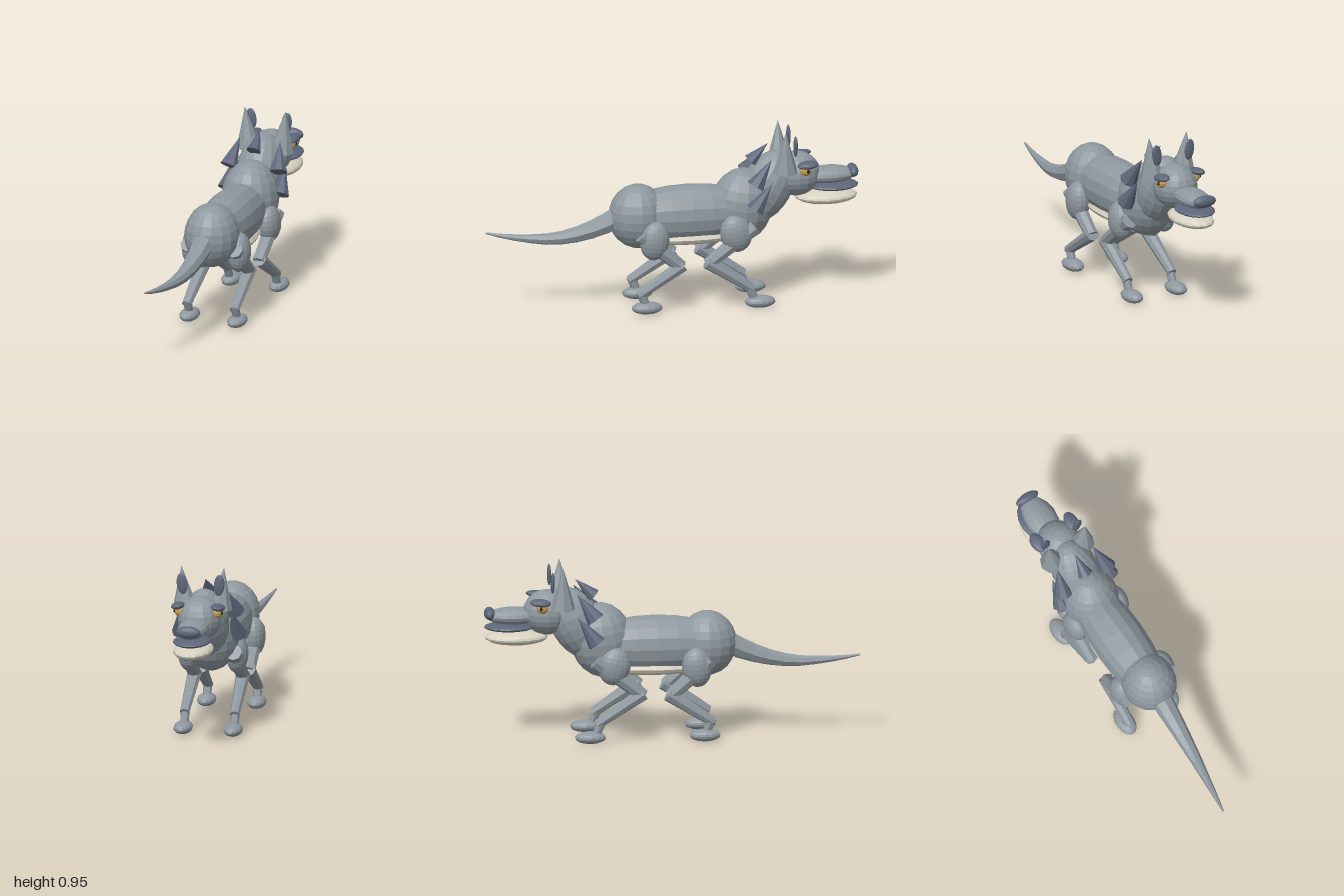
import * as THREE from 'three';

const mat = (name, color) => {
  const m = new THREE.MeshStandardMaterial({ color, flatShading: true });
  m.name = name;
  return m;
};

export function createModel() {
  const grey = mat('grey fur', 0x8e989f);
  const dark = mat('slate fur', 0x5d677a);
  const cream = mat('cream fur', 0xd6d1c0);
  const amber = mat('amber eye', 0xc9a050);
  const black = mat('pupil', 0x1c1c20);

  const root = new THREE.Group();
  root.name = 'wolf';
  const UP = new THREE.Vector3(0, 1, 0);

  // Faceted ellipsoid, tilted about x and z
  function blob(name, m, pos, size, tiltX = 0, tiltZ = 0, ws = 16, hs = 12) {
    const mesh = new THREE.Mesh(new THREE.SphereGeometry(1, ws, hs), m);
    mesh.name = name;
    mesh.position.set(...pos);
    mesh.scale.set(...size);
    mesh.rotation.set(tiltX, 0, tiltZ);
    root.add(mesh);
    return mesh;
  }

  // Tapered cylinder (or cone) running from a to b
  function limb(name, m, a, b, ra, rb, sides = 8) {
    const from = new THREE.Vector3(...a), to = new THREE.Vector3(...b);
    const dir = to.clone().sub(from);
    const mesh = new THREE.Mesh(new THREE.CylinderGeometry(rb, ra, dir.length(), sides), m);
    mesh.name = name;
    mesh.position.copy(from).add(to).multiplyScalar(0.5);
    mesh.quaternion.setFromUnitVectors(UP, dir.normalize());
    root.add(mesh);
    return mesh;
  }

  // Trunk
  blob('torso', grey, [0, 0.502, -0.08], [0.142, 0.42, 0.161], Math.PI / 2);
  blob('belly', cream, [0, 0.39, -0.09], [0.127, 0.3, 0.047], Math.PI / 2);
  blob('hips', grey, [0, 0.506, 0.195], [0.145, 0.173, 0.156]);
  blob('chest', grey, [0, 0.535, -0.365], [0.152, 0.2, 0.165], -0.12);
  blob('neck', grey, [0, 0.63, -0.5], [0.125, 0.21, 0.135], -0.5);

  // Head
  blob('head', grey, [0, 0.692, -0.655], [0.117, 0.12, 0.13]);
  blob('muzzle', grey, [0, 0.676, -0.83], [0.08, 0.15, 0.046], Math.PI / 2);
  blob('nose', dark, [0, 0.69, -0.96], [0.068, 0.033, 0.029]);
  blob('upperLip', dark, [0, 0.617, -0.855], [0.1, 0.022, 0.135]);
  blob('lowerJaw', cream, [0, 0.56, -0.818], [0.105, 0.04, 0.167]);

  // Paired parts
  for (const s of [-1, 1]) {
    limb('ear', grey, [s * 0.094, 0.73, -0.58], [s * 0.115, 0.955, -0.58], 0.067, 0);
    blob('innerEar', dark, [s * 0.1, 0.87, -0.635], [0.029, 0.058, 0.011], 0, -s * 0.1, 12, 8);
    blob('brow', dark, [s * 0.108, 0.766, -0.7], [0.037, 0.019, 0.058], 0.08, -s * 0.15, 12, 8);
    blob('eye', amber, [s * 0.098, 0.736, -0.688], [0.032, 0.032, 0.032], 0, 0, 12, 8);
    blob('pupil', black, [s * 0.127, 0.737, -0.698], [0.006, 0.011, 0.008], 0, 0, 8, 6);

    limb('upperManeSpike', dark, [s * 0.14, 0.675, -0.41], [s * 0.113, 0.81, -0.505], 0.05, 0);
    limb('lowerManeSpike', dark, [s * 0.152, 0.55, -0.405], [s * 0.143, 0.69, -0.505], 0.05, 0);

    // Front leg
    const x = s * 0.13, xf = s * 0.135;
    blob('shoulder', grey, [x, 0.418, -0.31], [0.058, 0.102, 0.086], 0.2);
    limb('frontUpperLeg', grey, [x, 0.45, -0.41], [x, 0.255, -0.155], 0.045, 0.035);
    limb('frontLowerLeg', grey, [x, 0.27, -0.155], [xf, 0.107, -0.4], 0.039, 0.026);
    limb('frontAnkle', grey, [xf, 0.125, -0.375], [xf, 0.045, -0.41], 0.025, 0.022);
    blob('frontPaw', grey, [xf, 0.036, -0.437], [0.05, 0.033, 0.083], 0, 0, 14, 10);

    // Hind leg
    blob('thigh', grey, [x, 0.403, 0.128], [0.06, 0.106, 0.079], -0.1);
    limb('hindUpperLeg', grey, [x, 0.44, 0.2], [x, 0.25, -0.015], 0.045, 0.035);
    limb('hindLowerLeg', grey, [x, 0.262, -0.025], [xf, 0.105, 0.215], 0.039, 0.026);
    limb('hindAnkle', grey, [xf, 0.125, 0.205], [xf, 0.045, 0.175], 0.025, 0.022);
    blob('hindPaw', grey, [xf, 0.036, 0.17], [0.05, 0.033, 0.083], 0, 0, 14, 10);
  }
  limb('topManeSpike', dark, [0, 0.775, -0.41], [0, 0.867, -0.505], 0.04, 0);

  // Segmented tail, each piece slightly overlapping the next
  const tail = new THREE.CatmullRomCurve3([
    [0, 0.51, 0.29], [0, 0.476, 0.36], [-0.002, 0.438, 0.46], [-0.008, 0.41, 0.57],
    [-0.018, 0.4, 0.68], [-0.032, 0.405, 0.78], [-0.047, 0.417, 0.89], [-0.066, 0.437, 0.999],
  ].map(p => new THREE.Vector3(...p)));
  const n = 9;
  const radius = t => 0.058 * (1 - t) + 0.005;
  for (let i = 0; i < n; i++) {
    const t0 = i / n, t1 = (i + 1) / n;
    limb('tailSegment', grey, tail.getPointAt(t0).toArray(),
      tail.getPointAt(Math.min(1, t1 + 0.01)).toArray(), radius(t0), radius(t1) * 0.97);
  }

  return root;
}
